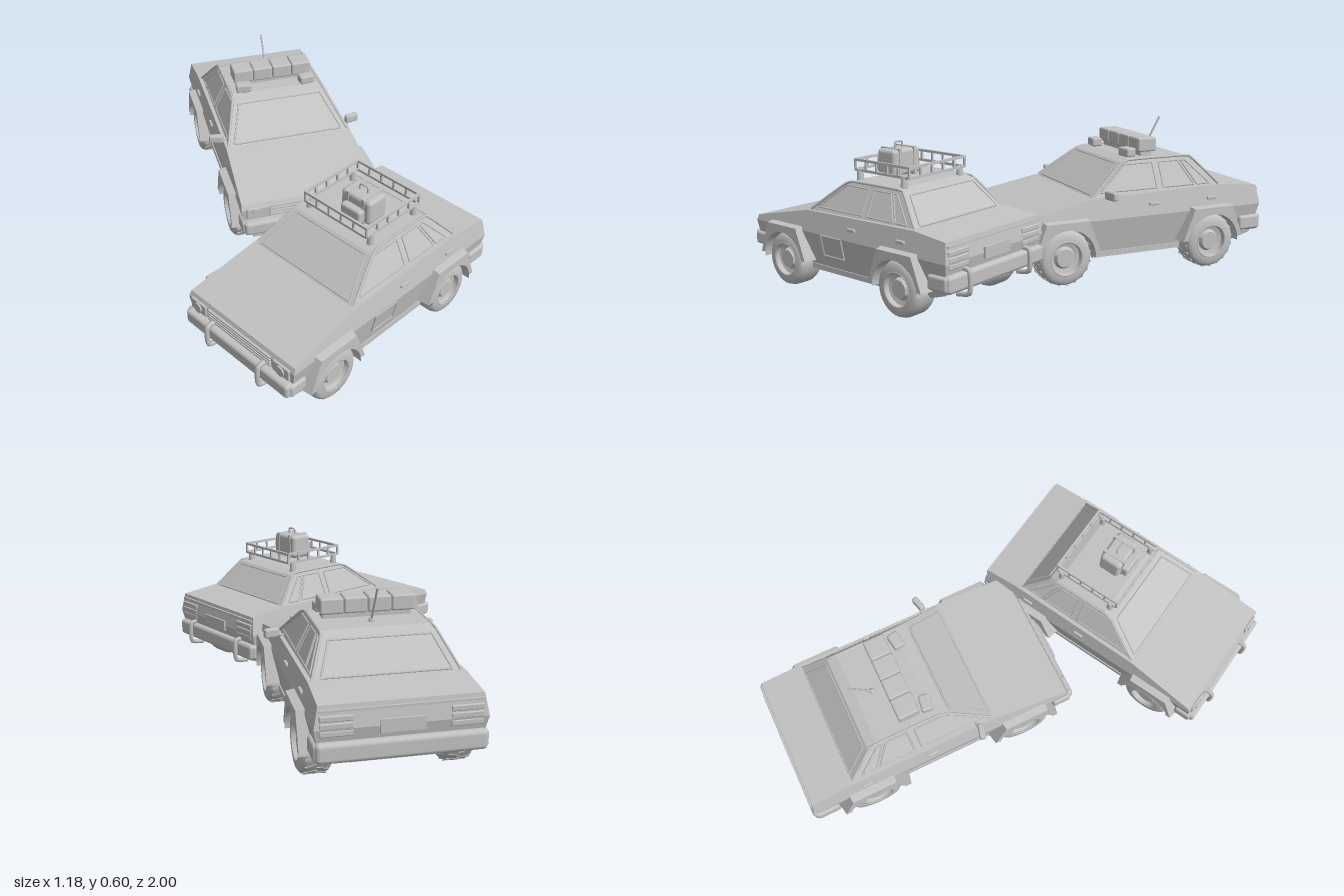
import * as THREE from 'three';
import { mergeGeometries, toCreasedNormals } from 'three/addons/utils/BufferGeometryUtils.js';
import { RoundedBoxGeometry } from 'three/addons/geometries/RoundedBoxGeometry.js';

const grey = new THREE.MeshStandardMaterial({ color: 0xc2c2c2, side: THREE.DoubleSide });
grey.name = 'grey';
const AXLES = [0.333, -0.333];
const SIDES = [1, -1];
const lerp = (y, y0, a, y1, b) => a + (b - a) * (y - y0) / (y1 - y0);
const lowerWidth = (y) => lerp(y, 0.1, 0.258, 0.25, 0.288);
const upperWidth = (y) => lerp(y, 0.25, 0.288, 0.345, 0.27);
const cabinWidth = (y) => lerp(y, 0.335, 0.258, 0.468, 0.192);

function add(group, name, geometry, x = 0, y = 0, z = 0) {
  const mesh = new THREE.Mesh(geometry, grey);
  mesh.name = name;
  mesh.position.set(x, y, z);
  group.add(mesh);
  return mesh;
}
const box = (g, name, w, h, d, x, y, z) => add(g, name, new THREE.BoxGeometry(w, h, d), x, y, z);
const rounded = (g, name, w, h, d, x, y, z, r = 0.01) => add(g, name, new RoundedBoxGeometry(w, h, d, 2, r), x, y, z);

function tube(g, name, points, radius) {
  const curve = new THREE.CatmullRomCurve3(points.map((p) => new THREE.Vector3(...p)), false, 'catmullrom', 0.3);
  return add(g, name, new THREE.TubeGeometry(curve, points.length * 4, radius, 8));
}

// Side outline (z, y) spread across the car, its half width following a rule of height
function sideSolid(g, name, shape, width) {
  const geo = new THREE.ExtrudeGeometry(shape, { depth: 1, bevelEnabled: false, curveSegments: 16 });
  geo.rotateY(-Math.PI / 2).translate(0.5, 0, 0);
  const p = geo.attributes.position;
  for (let i = 0; i < p.count; i++) p.setX(i, Math.sign(p.getX(i)) * width(p.getY(i)));
  geo.computeVertexNormals();
  return add(g, name, geo);
}
const outline = (pts) => new THREE.Shape(pts.map(([z, y]) => new THREE.Vector2(z, y)));

// Thin flat polygon facing outwards
function plate(g, name, pts) {
  const data = [];
  for (let i = 1; i < pts.length - 1; i++) data.push(...pts[0], ...pts[i], ...pts[i + 1]);
  const geo = new THREE.BufferGeometry();
  geo.setAttribute('position', new THREE.Float32BufferAttribute(data, 3));
  geo.computeVertexNormals();
  const a = new THREE.Vector3(...pts[0]);
  const n = new THREE.Vector3().fromBufferAttribute(geo.attributes.normal, 0);
  if (n.dot(a.sub(new THREE.Vector3(0, 0.3, 0))) < 0) return plate(g, name, [...pts].reverse());
  return add(g, name, geo);
}

// Pane with a slim seal round its edge
function pane(g, name, pts) {
  plate(g, name, pts);
  const v = pts.map((p) => new THREE.Vector3(...p));
  const bars = v.map((p, i) => new THREE.TubeGeometry(new THREE.LineCurve3(p, v[(i + 1) % v.length]), 1, 0.0035, 6));
  add(g, name + 'Seal', mergeGeometries(bars));
}

function wheel(g, s, z, treaded) {
  const w = new THREE.Group();
  w.name = 'wheel';
  const profile = [[0, -0.04], [0.06, -0.055], [0.094, -0.055], [0.106, -0.046], [0.112, -0.03], [0.112, 0.03],
    [0.106, 0.046], [0.094, 0.055], [0.07, 0.056], [0.064, 0.035], [0.045, 0.03], [0.036, 0.045], [0, 0.045]];
  const geo = new THREE.LatheGeometry(profile.map(([r, t]) => new THREE.Vector2(r, t)), 32);
  add(w, 'tyreAndRim', toCreasedNormals(geo, 0.7));
  // low tread blocks alternate between the two shoulders
  if (treaded) {
    const blocks = [];
    for (let i = 0; i < 40; i++) {
      const b = new THREE.BoxGeometry(0.004, 0.045, 0.01);
      b.rotateX(i % 2 ? 0.35 : -0.35).translate(0.112, i % 2 ? 0.018 : -0.018, 0);
      blocks.push(b.rotateY(i * Math.PI / 20));
    }
    add(w, 'tread', mergeGeometries(blocks));
  }
  const ring = new THREE.TorusGeometry(0.068, 0.004, 6, 28);
  add(w, 'rimRing', ring.rotateX(Math.PI / 2), 0, 0.054, 0);
  w.rotation.z = -s * Math.PI / 2;
  w.position.set(s * 0.247, 0.114, z);
  g.add(w);
}

// Angular arch around a wheel, narrowing towards its outer face
function flare(g, s, z) {
  const shape = outline([[0.12, 0.13], [0.155, 0.13], [0.1, 0.27], [-0.1, 0.27], [-0.155, 0.13], [-0.12, 0.13]]);
  shape.absarc(0, 0.11, 0.121, Math.PI, 0, true);
  const geo = new THREE.ExtrudeGeometry(shape, { depth: 1, bevelEnabled: false, curveSegments: 16 });
  geo.rotateY(-Math.PI / 2).translate(1, 0, 0);
  const p = geo.attributes.position;
  for (let i = 0; i < p.count; i++) {
    const outer = p.getX(i) > 0.5;
    if (outer && Math.hypot(p.getZ(i), p.getY(i) - 0.11) > 0.125) {
      p.setZ(i, p.getZ(i) * 0.92);
      p.setY(i, 0.11 + (p.getY(i) - 0.11) * 0.94);
    }
    p.setX(i, outer ? 0.316 : 0.255);
  }
  geo.computeVertexNormals();
  add(g, 'wheelFlare', geo, 0, 0, z).scale.x = s;
}

function baseCar(name, treaded) {
  const g = new THREE.Group();
  g.name = name;
  // lower body with wheel arches, shoulders with bonnet and boot, cabin
  const low = outline([[-0.55, 0.125], [-0.47, 0.1]]);
  for (const z of [-0.333, 0.333]) low.absarc(z, 0.11, 0.126, Math.PI, 0, true);
  for (const [z, y] of [[0.47, 0.1], [0.525, 0.125], [0.535, 0.25], [-0.578, 0.25]]) low.lineTo(z, y);
  sideSolid(g, 'lowerBody', low, lowerWidth);
  sideSolid(g, 'upperBody', outline([[-0.578, 0.25], [0.535, 0.25], [0.525, 0.272], [0.21, 0.335],
    [-0.4, 0.345], [-0.565, 0.328]]), upperWidth);
  sideSolid(g, 'cabin', outline([[-0.4, 0.335], [0.21, 0.332], [0.045, 0.456], [0, 0.468],
    [-0.245, 0.468], [-0.285, 0.456]]), cabinWidth);
  box(g, 'floor', 0.32, 0.14, 1, 0, 0.172, -0.01);

  // glass
  const front = (x, y) => [x, y + 0.002, lerp(y, 0.332, 0.21, 0.456, 0.045) + 0.002];
  const rear = (x, y) => [x, y + 0.002, lerp(y, 0.335, -0.4, 0.456, -0.285) - 0.002];
  pane(g, 'windscreen', [front(-0.235, 0.342), front(0.235, 0.342), front(0.18, 0.448), front(-0.18, 0.448)]);
  pane(g, 'rearWindow', [rear(-0.225, 0.348), rear(0.225, 0.348), rear(0.18, 0.446), rear(-0.18, 0.446)]);
  for (const s of SIDES) {
    const at = ([z, y]) => [s * (cabinWidth(y) + 0.002), y, z];
    pane(g, 'frontSideWindow', [[0.165, 0.352], [0.035, 0.448], [-0.095, 0.448], [-0.095, 0.352]].map(at));
    pane(g, 'rearSideWindow', [[-0.125, 0.352], [-0.125, 0.448], [-0.215, 0.448], [-0.27, 0.352]].map(at));
    pane(g, 'quarterWindow', [[-0.285, 0.352], [-0.23, 0.448], [-0.25, 0.448], [-0.345, 0.352]].map(at));
    tube(g, 'roofGutter', [[s * 0.26, 0.34, 0.2], [s * 0.203, 0.456, 0.04], [s * 0.197, 0.465, -0.03],
      [s * 0.197, 0.465, -0.25], [s * 0.203, 0.455, -0.285], [s * 0.255, 0.345, -0.39]], 0.005);
    // doors, handles, sill
    for (const z of [0.165, -0.11]) {
      for (const [part, y0, y1, width] of [['lower', 0.105, 0.25, lowerWidth], ['upper', 0.25, 0.34, upperWidth]]) {
        plate(g, part + 'DoorSeam', [[z + 0.002, y0], [z + 0.002, y1], [z - 0.002, y1], [z - 0.002, y0]]
          .map(([q, y]) => [s * (width(y) + 0.002), y, q]));
      }
      rounded(g, 'doorHandle', 0.012, 0.014, 0.045, s * 0.282, 0.295, z - 0.23, 0.004);
    }
    box(g, 'sill', 0.02, 0.022, 0.4, s * 0.256, 0.105, 0);
    for (const z of AXLES) {
      wheel(g, s, z, treaded);
      flare(g, s, z);
    }
    // lamps
    rounded(g, 'headlight', 0.085, 0.05, 0.012, s * 0.225, 0.235, 0.537, 0.005);
    const lamp = new THREE.CylinderGeometry(0.021, 0.021, 0.01, 20).rotateX(Math.PI / 2);
    add(g, 'headlightLens', lamp, s * 0.225, 0.235, 0.544);
    for (const y of [0.235, 0.26, 0.285]) rounded(g, 'tailLight', 0.11, 0.02, 0.012, s * 0.215, y, -0.573, 0.004);
  }
  for (const z of AXLES) {
    const axle = new THREE.CylinderGeometry(0.014, 0.014, 0.42, 10).rotateZ(Math.PI / 2);
    add(g, 'axle', axle, 0, 0.114, z);
  }
  for (let i = 0; i < 4; i++) box(g, 'grilleBar', 0.34, 0.006, 0.01, 0, 0.216 + i * 0.013, 0.538);
  box(g, 'rearPlate', 0.15, 0.045, 0.008, 0, 0.25, -0.58);
  box(g, 'bootTrim', 0.54, 0.008, 0.012, 0, 0.31, -0.57);

  // bumpers with wrapped ends
  rounded(g, 'frontBumper', 0.56, 0.06, 0.07, 0, 0.172, 0.53, 0.014);
  box(g, 'frontLip', 0.48, 0.03, 0.05, 0, 0.118, 0.5);
  rounded(g, 'rearBumper', 0.57, 0.07, 0.07, 0, 0.172, -0.556, 0.016);
  for (const s of SIDES) {
    rounded(g, 'frontBumperEnd', 0.03, 0.055, 0.08, s * 0.274, 0.172, 0.51, 0.012);
    rounded(g, 'rearBumperEnd', 0.03, 0.06, 0.1, s * 0.276, 0.172, -0.53, 0.012);
  }
  return g;
}

// Car with mirrors, roof lamp bar and aerial
function lampCar() {
  const g = baseCar('lampBarCar', true);
  for (let i = 0; i < 4; i++) {
    rounded(g, 'lampBarUnit', 0.085, 0.058, 0.085, (i - 1.5) * 0.086, 0.515, -0.093, 0.008);
  }
  box(g, 'lampBarBase', 0.32, 0.025, 0.05, 0, 0.477, -0.093);
  for (const s of SIDES) {
    rounded(g, 'roofSpotlight', 0.065, 0.036, 0.045, s * 0.14, 0.487, -0.015, 0.008).rotation.y = s * 0.15;
    rounded(g, 'mirror', 0.06, 0.036, 0.025, s * 0.3, 0.348, 0.14, 0.008).rotation.y = s * 0.25;
    tube(g, 'mirrorArm', [[s * 0.25, 0.335, 0.135], [s * 0.29, 0.345, 0.14]], 0.006);
  }
  rounded(g, 'frontPlateHolder', 0.2, 0.035, 0.014, 0, 0.17, 0.567, 0.005);
  tube(g, 'aerial', [[0, 0.465, -0.175], [0, 0.6, -0.25]], 0.004);
  add(g, 'aerialBase', new THREE.SphereGeometry(0.011, 12, 8), 0, 0.472, -0.178);
  return g;
}

// Car with roof rack, pack and guard bars
function rackCar() {
  const g = baseCar('roofRackCar', false);
  const cz = -0.12, a = 0.152, b = 0.16;
  for (const y of [0.505, 0.545]) {
    for (const s of SIDES) {
      box(g, 'rackSideRail', 0.01, 0.01, 2 * a, s * b, y, cz);
      box(g, 'rackEndRail', 2 * b, 0.01, 0.01, 0, y, cz + s * a);
    }
  }
  for (let i = 0; i < 6; i++) {
    const t = i / 2.5 - 1;
    for (const s of SIDES) {
      box(g, 'rackPost', 0.008, 0.045, 0.008, s * b, 0.525, cz + t * a);
      box(g, 'rackPost', 0.008, 0.045, 0.008, t * b, 0.525, cz + s * a);
    }
  }
  for (const s of SIDES) {
    for (const e of SIDES) {
      add(g, 'rackFoot', new THREE.CylinderGeometry(0.012, 0.016, 0.05, 12), s * b, 0.482, cz + e * 0.125);
    }
    for (const [name, x, z, dir] of [['frontGuardBar', 0.14, 0.56, 1], ['rearGuardBar', 0.18, -0.585, -1]]) {
      tube(g, name, [[s * x, 0.215, z - dir * 0.04], [s * x, 0.208, z + dir * 0.012],
        [s * x, 0.125, z + dir * 0.012], [s * x, 0.11, z - dir * 0.05]], 0.01);
    }
  }
  // strapped pack
  rounded(g, 'pack', 0.15, 0.105, 0.1, 0.035, 0.537, -0.09, 0.016);
  rounded(g, 'packPocket', 0.1, 0.06, 0.04, 0.035, 0.52, -0.03, 0.01);
  for (const s of SIDES) box(g, 'packStrap', 0.014, 0.111, 0.106, 0.035 + s * 0.04, 0.537, -0.09);
  tube(g, 'packHandle', [[0.015, 0.585, -0.09], [0.017, 0.612, -0.09], [0.053, 0.612, -0.09], [0.055, 0.585, -0.09]], 0.004);
  // bolted door patch
  const at = ([z, y]) => [lowerWidth(y) + 0.005, y, z];
  pane(g, 'doorPatch', [[0.11, 0.165], [0.11, 0.25], [-0.01, 0.25], [-0.01, 0.165]].map(at));
  return g;
}

export function createModel() {
  const model = new THREE.Group();
  model.name = 'twoCars';
  const first = lampCar();
  first.position.set(0, 0, -0.408);
  const second = rackCar();
  second.scale.set(0.93, 0.95, 0.92);
  second.position.set(-0.013, 0, 0.532);
  second.rotation.y = -1.076;
  model.add(first, second);
  return model;
}
